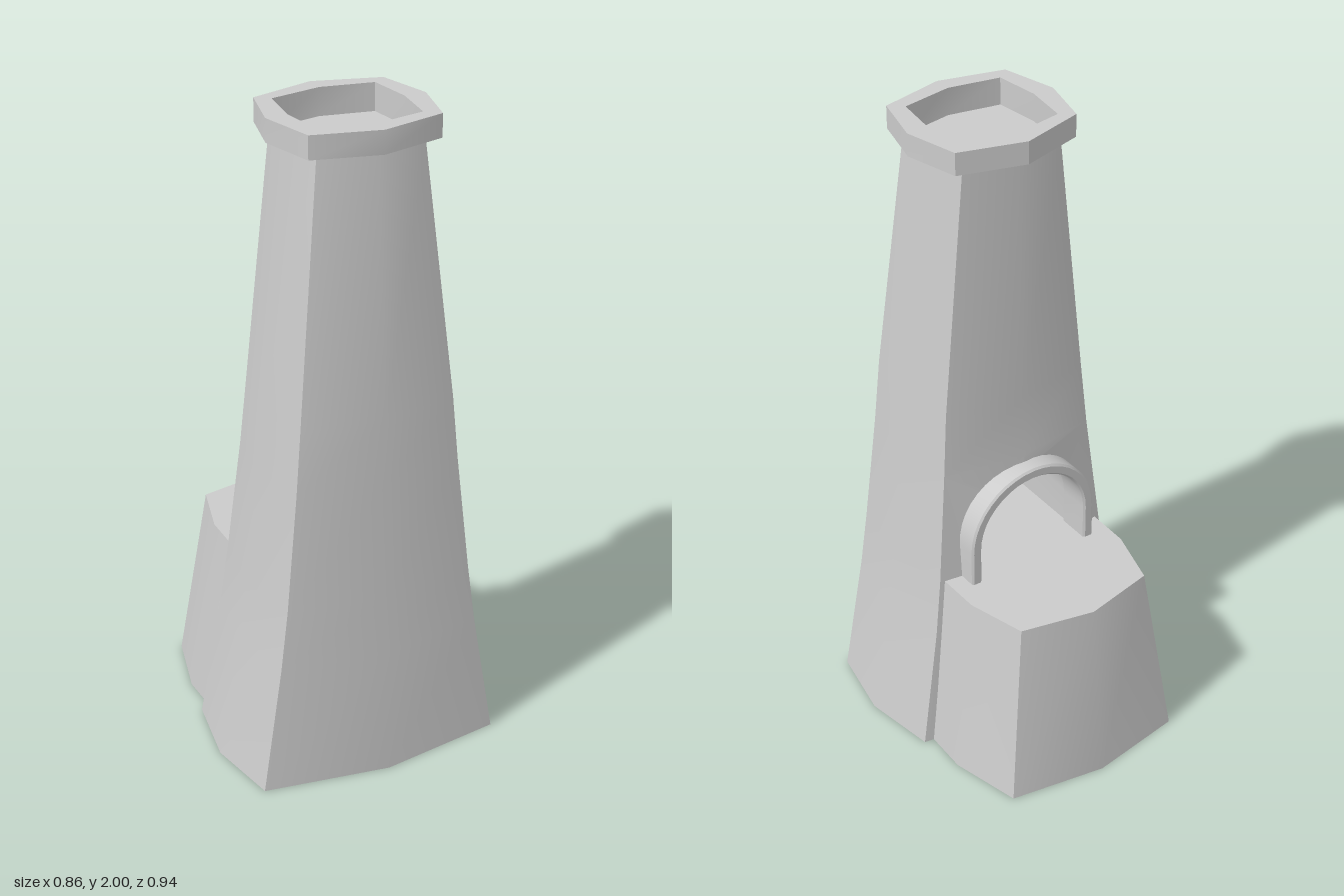
import * as THREE from 'three';
import { toCreasedNormals } from 'three/addons/utils/BufferGeometryUtils.js';

const FLOOR = 0.585, SPRING = 0.7, BAND_TOP = 0.95;

// Skin a list of closed rings; optionally cap the ends or skip some quads
function loft(rings, { start = false, end = false, skip = () => false } = {}) {
  const out = [];
  const tri = (...pts) => pts.forEach(p => out.push(...p));
  const cap = (ring, flip) => {
    const c = [0, 1, 2].map(k => ring.reduce((s, p) => s + p[k], 0) / ring.length);
    ring.forEach((p, i) => {
      const q = ring[(i + 1) % ring.length];
      flip ? tri(c, q, p) : tri(c, p, q);
    });
  };
  for (let j = 0; j < rings.length - 1; j++) {
    const lo = rings[j], hi = rings[j + 1];
    lo.forEach((a, i) => {
      if (skip(j, i)) return;
      const n = (i + 1) % lo.length;
      tri(a, lo[n], hi[n]);
      tri(a, hi[n], hi[i]);
    });
  }
  if (start) cap(rings[0], true);
  if (end) cap(rings[rings.length - 1], false);
  return out;
}

function toGeometry(positions) {
  const g = new THREE.BufferGeometry();
  g.setAttribute('position', new THREE.Float32BufferAttribute(positions, 3));
  return toCreasedNormals(g, 0.5);
}

// Eight-sided plan outline at height y, starting at the front and going to +x
function octagon([y, sideX, cornerX, front, frontCorner, sideZ, backCorner, back]) {
  return [
    [0, y, front], [cornerX, y, frontCorner], [sideX, y, sideZ], [cornerX, y, backCorner],
    [0, y, back], [-cornerX, y, backCorner], [-sideX, y, sideZ], [-cornerX, y, frontCorner],
  ];
}

// Upper half-circle points from angle a to b
function arc(r, a, b, n = 20) {
  return Array.from({ length: n + 1 }, (_, i) => {
    const t = a + (b - a) * i / n;
    return new THREE.Vector2(r * Math.cos(t), SPRING + r * Math.sin(t));
  });
}

export function createModel() {
  const group = new THREE.Group();
  const material = new THREE.MeshStandardMaterial({ color: 0xcccccc });
  const add = (name, geometry) => {
    const mesh = new THREE.Mesh(geometry, material);
    mesh.name = name;
    group.add(mesh);
  };

  // Tapered tower: y, sideX, cornerX, front, frontCorner, sideZ, backCorner, back
  const levels = [
    [0, 0.428, 0.387, 0.47, 0.41, 0.175, -0.06, -0.12],
    [0.4, 0.355, 0.322, 0.447, 0.395, 0.175, -0.043, -0.09],
    [FLOOR, 0.331, 0.298, 0.438, 0.389, 0.175, -0.033, -0.075],
    [BAND_TOP, 0.293, 0.26, 0.42, 0.373, 0.18, -0.01, -0.052],
    [1.15, 0.275, 0.243, 0.412, 0.365, 0.18, 0, -0.043],
    [1.93, 0.19, 0.165, 0.35, 0.308, 0.165, 0.012, -0.018],
  ];
  const tower = loft(levels.map(octagon), {
    start: true, skip: (j, i) => j === 2 && (i === 3 || i === 4),
  });

  // Back wall band with the arched doorway cut out, one half per side
  const [lo, hi] = [levels[2], levels[3]];
  for (const s of [1, -1]) {
    const pts = [
      new THREE.Vector2(0.2, FLOOR), ...arc(0.2, 0, Math.PI / 2),
      new THREE.Vector2(0, BAND_TOP), new THREE.Vector2(hi[2], BAND_TOP), new THREE.Vector2(lo[2], FLOOR),
    ];
    pts.forEach(p => { p.x *= s; });
    const pos = new THREE.ShapeGeometry(new THREE.Shape(pts)).toNonIndexed().attributes.position;
    for (let i = 0; i < pos.count; i++) {
      const x = pos.getX(i), y = pos.getY(i);
      const at = k => THREE.MathUtils.mapLinear(y, FLOOR, BAND_TOP, lo[k], hi[k]);
      tower.push(-x, y, THREE.MathUtils.lerp(at(7), at(6), Math.abs(x) / at(2)));
    }
  }
  add('tower', toGeometry(tower));

  // Rim with a sunken top
  add('rim', toGeometry(loft([
    levels[5],
    [1.93, 0.245, 0.202, 0.385, 0.335, 0.16, -0.01, -0.068],
    [2, 0.245, 0.202, 0.385, 0.335, 0.16, -0.01, -0.068],
    [2, 0.178, 0.16, 0.33, 0.3, 0.16, 0.02, 0.01 - 0.02],
    [1.915, 0.178, 0.16, 0.33, 0.3, 0.16, 0.02, -0.01],
  ].map(octagon), { end: true })));

  // Rear annex
  const annexRing = (y, pts) => [
    ...pts.map(([x, z]) => [x, y, z]),
    ...pts.filter(p => p[0] > 0).reverse().map(([x, z]) => [-x, y, z]),
  ];
  add('annex', toGeometry(loft([
    annexRing(0, [[0.355, 0], [0.36, -0.205], [0.302, -0.425], [0, -0.475]]),
    annexRing(FLOOR, [[0.283, 0], [0.28, -0.175], [0.228, -0.36], [0, -0.41]]),
  ], { start: true, end: true })));

  // Vaulted passage behind the doorway, facing inward
  const vault = z => [
    [-0.197, FLOOR, z], ...arc(0.197, Math.PI, 0).map(p => [p.x, p.y, z]), [0.197, FLOOR, z],
  ];
  add('passage', toGeometry(loft([vault(-0.05), vault(0.33)], { end: true })));

  // Arched door frame
  const bevel = 0.006;
  const frame = new THREE.Shape([
    new THREE.Vector2(0.225 - bevel, FLOOR), ...arc(0.225 - bevel, 0, Math.PI),
    new THREE.Vector2(-0.225 + bevel, FLOOR), new THREE.Vector2(-0.19 - bevel, FLOOR),
    ...arc(0.19 + bevel, Math.PI, 0), new THREE.Vector2(0.19 + bevel, FLOOR),
  ]);
  const frameGeo = new THREE.ExtrudeGeometry(frame, {
    depth: 0.1, bevelEnabled: true, bevelSize: bevel, bevelThickness: bevel, bevelSegments: 1,
  });
  frameGeo.translate(0, 0, -0.096);
  add('doorFrame', toCreasedNormals(frameGeo, 0.5));

  return group;
}
